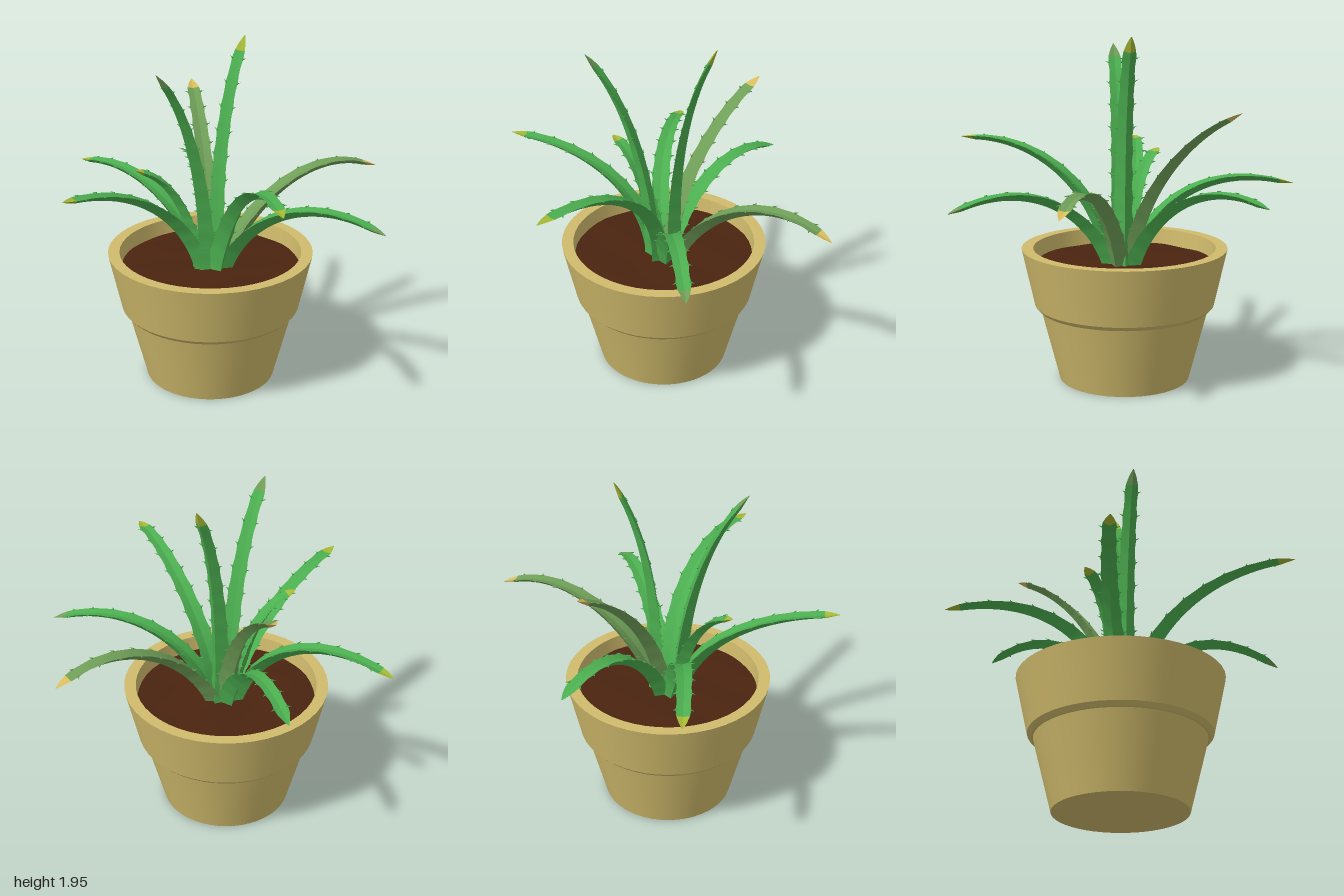
import * as THREE from 'three';
import { mergeGeometries } from 'three/addons/utils/BufferGeometryUtils.js';

const UP = new THREE.Vector3(0, 1, 0);

const mat = (name, color) => {
  const m = new THREE.MeshStandardMaterial({ color });
  m.name = name;
  return m;
};

// Ribbon of quads between two rows of points, smooth along its length
function strip(a, b) {
  const pos = [], index = [];
  a.forEach((p, i) => {
    pos.push(p.x, p.y, p.z, b[i].x, b[i].y, b[i].z);
    if (i) {
      const k = 2 * i;
      index.push(k - 2, k - 1, k, k - 1, k + 1, k);
    }
  });
  const g = new THREE.BufferGeometry();
  g.setAttribute('position', new THREE.Float32BufferAttribute(pos, 3));
  g.setIndex(index);
  g.computeVertexNormals();
  return g;
}

// Keeled leaf: shallow channel above, ridge below, thorns on both edges.
// tip is a point; low and high are [share of reach, height] handles; bend bows it sideways
function makeLeaf(name, leafMat, tipMat, tip, low, high, bend = 0) {
  const group = new THREE.Group();
  group.name = name;
  const end = new THREE.Vector3(...tip);
  const reach = Math.hypot(end.x, end.z);
  const heading = end.clone().setY(0).normalize();
  const side = heading.clone().cross(UP);
  const handle = ([share, y]) =>
    heading.clone().multiplyScalar(share * reach).addScaledVector(side, bend).setY(y);
  const root = heading.clone().multiplyScalar(0.035).setY(0.64);
  const curve = new THREE.CubicBezierCurve3(root, handle(low), handle(high), end);
  const N = 30, tipRow = 28;
  const L = [], M = [], R = [], K = [], spikes = [];

  for (let i = 0; i <= N; i++) {
    const t = i / N;
    const c = curve.getPointAt(t), tangent = curve.getTangentAt(t);
    const s = side.clone().addScaledVector(tangent, -side.dot(tangent)).normalize();
    const n = s.clone().cross(tangent);
    const point = i <= tipRow ? 1 : i === N ? 0.08 : 0.65;
    const wave = i % 3 === 0 ? 1.06 : 0.95;
    const w = (0.061 - 0.027 * t) * wave * point;
    const depth = (0.075 - 0.055 * t) * point;
    L.push(c.clone().addScaledVector(s, -w));
    R.push(c.clone().addScaledVector(s, w));
    M.push(c.clone().addScaledVector(n, -0.22 * w));
    K.push(c.clone().addScaledVector(n, -depth));
    // Thorns lean outwards and towards the tip
    if (i % 3 === 0 && i > 5 && i < tipRow) {
      for (const sign of [-1, 1]) {
        const dir = s.clone().multiplyScalar(sign).addScaledVector(tangent, 0.5).normalize();
        const spike = new THREE.ConeGeometry(0.006, 0.026, 5);
        spike.applyQuaternion(new THREE.Quaternion().setFromUnitVectors(UP, dir));
        const at = c.clone().addScaledVector(s, sign * w).addScaledVector(dir, 0.006);
        spikes.push(spike.translate(at.x, at.y, at.z));
      }
    }
  }

  const section = (from, to) => {
    const cut = (row) => row.slice(from, to + 1);
    return mergeGeometries([[L, M], [M, R], [R, K], [K, L]].map(([a, b]) => strip(cut(a), cut(b))));
  };
  const add = (label, geometry, material) => {
    const mesh = new THREE.Mesh(geometry, material);
    mesh.name = label;
    group.add(mesh);
  };
  add('leafBlade', section(0, tipRow), leafMat);
  add('leafTip', section(tipRow, N), tipMat);
  add('leafThorns', mergeGeometries(spikes), leafMat);
  return group;
}

export function createModel() {
  const model = new THREE.Group();
  model.name = 'pottedPlant';
  const clay = mat('clay', 0xd0bb6c);
  const earth = mat('soil', 0x4a2410);
  const green = mat('leafGreen', 0x4caf50);
  const olive = mat('leafOlive', 0x6f9f58);
  const lime = mat('tipLime', 0xa5b834);
  const tan = mat('tipTan', 0xd8bc5c);

  // Pot: one lathe per straight piece of the profile keeps edges sharp
  const profile = [[0, 0], [0.37, 0], [0.475, 0.41], [0.485, 0.41], [0.508, 0.435],
    [0.58, 0.76], [0.515, 0.76], [0.505, 0.64]].map((p) => new THREE.Vector2(...p));
  const pieces = profile.slice(1).map((p, i) => new THREE.LatheGeometry([profile[i], p], 48));
  const pot = new THREE.Mesh(mergeGeometries(pieces), clay);
  pot.name = 'pot';
  pot.position.x = -0.015;
  model.add(pot);

  // Soil: low uneven mound
  const soilGeo = new THREE.RingGeometry(0.001, 0.511, 48, 8).rotateX(-Math.PI / 2);
  const p = soilGeo.attributes.position;
  for (let i = 0; i < p.count; i++) {
    const x = p.getX(i), z = p.getZ(i);
    p.setY(i, 0.67 + 0.006 * Math.sin(x * 13 + z * 5) * Math.cos(z * 11));
  }
  soilGeo.computeVertexNormals();
  const soil = new THREE.Mesh(soilGeo, earth);
  soil.name = 'soil';
  soil.position.x = -0.015;
  model.add(soil);

  // Leaves, all growing from the middle of the soil
  model.add(
    makeLeaf('leftLeaf', green, olive, [1, 1.03, -0.14], [0.15, 1], [0.55, 1.25]),
    makeLeaf('frontLeftLeaf', green, lime, [0.8, 1.34, 0.6], [0.09, 1.13], [0.5, 1.42], -0.07),
    makeLeaf('frontLeaf', green, lime, [-0.34, 1.265, 0.88], [0.12, 1.02], [0.5, 1.27], 0.06),
    makeLeaf('rightLeaf', green, lime, [-1, 1.09, -0.08], [0.13, 1], [0.5, 1.255], -0.065),
    makeLeaf('backRightLowLeaf', green, green, [-0.62, 1.06, -0.64], [0.18, 1.02], [0.6, 1.24]),
    makeLeaf('backRightHighLeaf', olive, tan, [-0.5, 1.56, -0.53], [0.08, 1.05], [0.55, 1.45]),
    makeLeaf('backLeaf', olive, tan, [0.57, 1.12, -0.88], [0.15, 0.98], [0.58, 1.36]),
    makeLeaf('tallBackLeaf', green, lime, [0.03, 1.95, -0.28], [0.05, 1.1], [0.3, 1.65]),
    makeLeaf('tallFrontLeaf', green, olive, [-0.07, 1.87, 0.42], [0.1, 1.1], [0.4, 1.62]),
    makeLeaf('shortLeaf', green, lime, [-0.31, 1.27, 0.3], [0.2, 1], [0.55, 1.25]),
  );
  return model;
}
